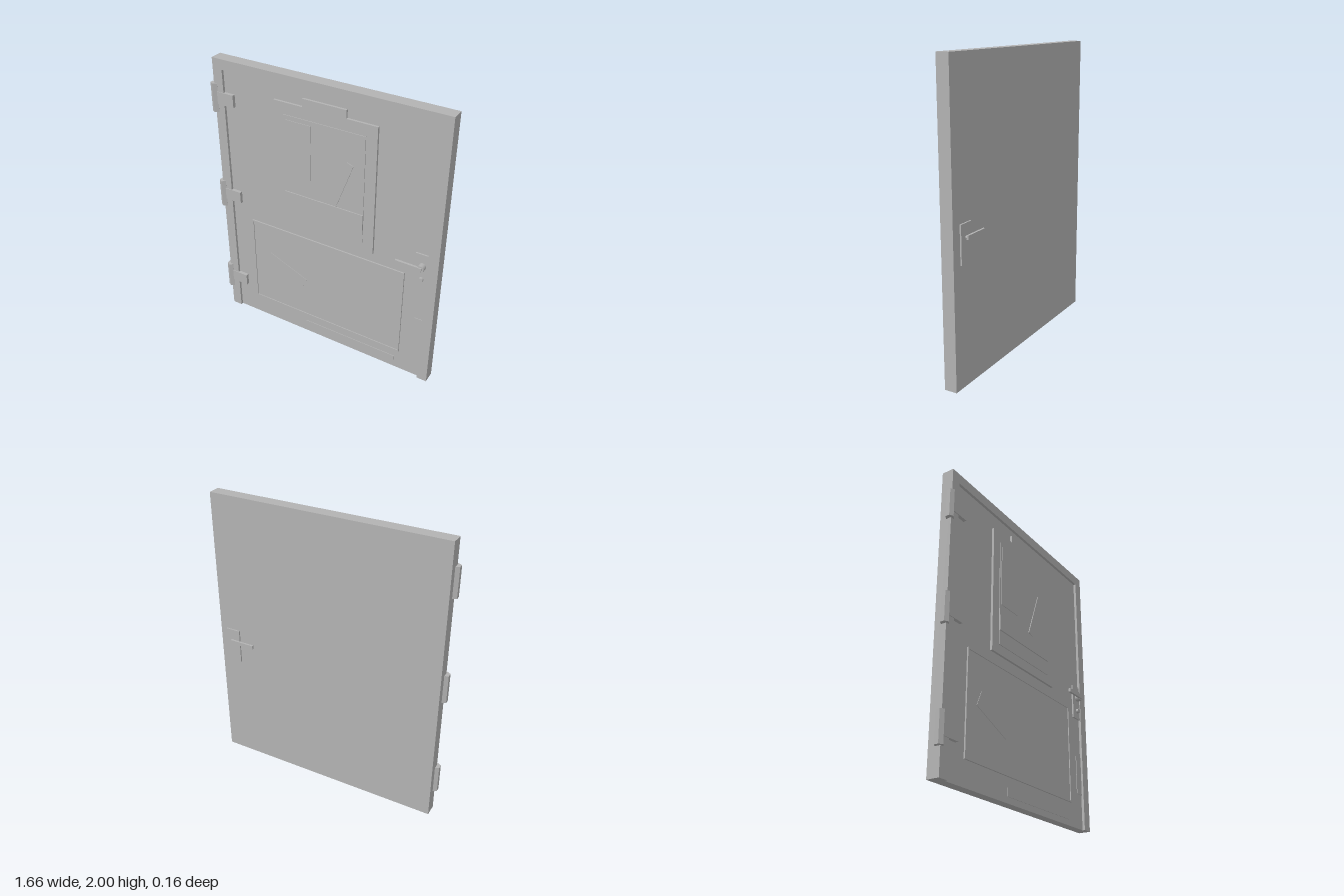
import * as THREE from 'three';

export function createModel() {
  const root = new THREE.Group();
  const grey = new THREE.MeshStandardMaterial({ color: 0xb2b2b2 });
  grey.name = 'grey';

  const add = (name, geometry) => {
    const mesh = new THREE.Mesh(geometry, grey);
    mesh.name = name;
    root.add(mesh);
    return mesh;
  };
  // Box given by its limits on each axis
  const box = (name, x0, x1, y0, y1, z0, z1) => {
    const m = add(name, new THREE.BoxGeometry(x1 - x0, y1 - y0, z1 - z0));
    m.position.set((x0 + x1) / 2, (y0 + y1) / 2, (z0 + z1) / 2);
    return m;
  };
  const outline = pts => new THREE.Shape(pts.map(p => new THREE.Vector2(...p)));
  // Flat outline in x and y, extruded from z0 to z1
  const plate = (name, shape, z0, z1) => {
    const g = new THREE.ExtrudeGeometry(shape, { depth: z1 - z0, bevelEnabled: false });
    g.translate(0, 0, z0);
    return add(name, g);
  };
  const disc = (name, x, y, r, z0, z1, sides) => {
    const g = new THREE.CylinderGeometry(r, r, z1 - z0, sides);
    g.rotateX(Math.PI / 2);
    const m = add(name, g);
    m.position.set(x, y, (z0 + z1) / 2);
    return m;
  };

  const back = -0.045, face = 0.022, front = 0.04;

  // Frame with two legs and a head, and the recessed door leaf
  plate('doorFrame', outline([[-0.805, 0], [-0.735, 0], [-0.735, 1.93], [0.757, 1.93],
    [0.757, 0], [0.828, 0], [0.828, 2], [-0.805, 2]]), back, front);
  box('doorLeaf', -0.735, 0.757, 0, 1.93, back, face);

  // Notice board with a clip tab on top
  plate('noticeBoard', outline([[-0.35, 0.915], [0.375, 0.915], [0.375, 1.82], [0.165, 1.82],
    [0.165, 1.875], [-0.14, 1.875], [-0.14, 1.82], [-0.35, 1.82]]), face, 0.038);
  box('noticeSheet', -0.28, 0.3, 0.98, 1.74, 0.038, 0.043);
  box('photoSheet', -0.265, -0.08, 1.27, 1.71, 0.043, 0.047);
  box('captionStrip', -0.28, 0.3, 1.08, 1.19, 0.043, 0.05);
  plate('tiltedSlip', outline([[0.225, 1.52], [0.178, 1.536], [0.058, 1.206], [0.105, 1.19]]), 0.043, 0.048);

  // Lower panel: a thin raised rim around a flat field
  const rim = outline([[-0.58, 0.16], [0.602, 0.16], [0.602, 0.843], [-0.58, 0.843]]);
  rim.holes.push(new THREE.Path([[-0.57, 0.17], [-0.57, 0.833], [0.592, 0.833], [0.592, 0.17]]
    .map(p => new THREE.Vector2(...p))));
  plate('lowerPanelRim', rim, face, 0.032);
  box('lowerPanelField', -0.57, 0.592, 0.17, 0.833, face, 0.026);
  plate('tiltedLabel', outline([[-0.437, 0.607], [-0.48, 0.508], [-0.18, 0.383], [-0.137, 0.482]]), 0.026, 0.029);

  // Small plates low on the leaf
  box('kickPlate', -0.15, 0.57, 0.04, 0.096, face, 0.026);
  box('edgePlate', 0.695, 0.757, 0.24, 0.51, face, 0.026);

  // Lock, keyhole and lever handles on both sides
  box('frontLockPlate', 0.667, 0.757, 0.79, 1.037, face, 0.033);
  box('backLockPlate', 0.667, 0.773, 0.79, 1.037, -0.064, -0.054);
  disc('keyhole', 0.72, 0.85, 0.016, 0.03, 0.05, 16);
  disc('frontSpindle', 0.72, 0.95, 0.025, 0.03, 0.07, 12);
  disc('backSpindle', 0.72, 0.95, 0.012, -0.075, back, 12);
  box('frontHandle', 0.55, 0.73, 0.937, 0.963, 0.062, 0.078);
  box('backHandle', 0.55, 0.73, 0.937, 0.963, -0.083, -0.069);

  // Three hinges: faceted knuckle and a leaf reaching over the door
  for (const y of [0.275, 1.003, 1.73]) {
    const knuckle = new THREE.ExtrudeGeometry(
      outline([[-0.83, -0.015], [-0.8, 0], [-0.78, -0.042], [-0.805, -0.06], [-0.83, -0.045]]),
      { depth: 0.2, bevelEnabled: false });
    knuckle.rotateX(-Math.PI / 2);
    add('hingeKnuckle', knuckle).position.y = y - 0.1;
    box('hingeLeaf', -0.8, -0.66, y - 0.043, y + 0.043, face, 0.045);
  }
  return root;
}
